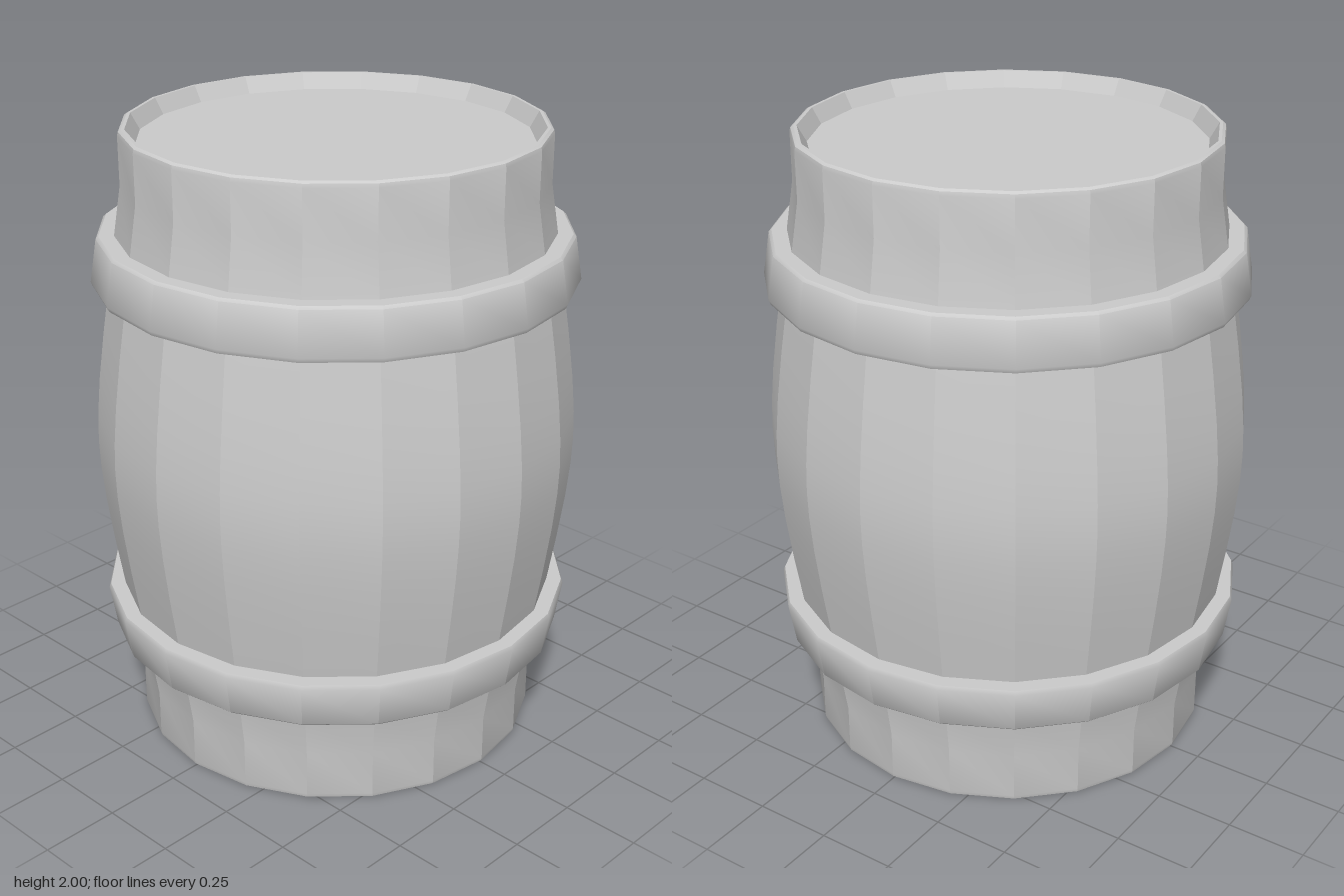
import * as THREE from 'three';
import { toCreasedNormals } from 'three/addons/utils/BufferGeometryUtils.js';

const SIDES = 20;

export function createModel() {
  const barrel = new THREE.Group();
  barrel.name = 'barrel';
  const material = new THREE.MeshStandardMaterial({ color: 0xcccccc });

  const add = (name, geometry) => {
    const mesh = new THREE.Mesh(geometry, material);
    mesh.name = name;
    barrel.add(mesh);
    return mesh;
  };
  // Turned profile of [radius, height] pairs with edges sharper than the crease angle kept hard
  const turned = (profile, creaseDegrees) => toCreasedNormals(
    new THREE.LatheGeometry(profile.map(([r, y]) => new THREE.Vector2(r, y)), SIDES),
    THREE.MathUtils.degToRad(creaseDegrees));
  // Mirror a profile about mid height, keeping its bottom-to-top order
  const flip = (profile) => profile.map(([r, y]) => [r, 2 - y]).reverse();

  // Staves: faceted around, smooth along the bulge, with a rim standing past each head
  const lowerHalf = [
    [0.605, 0.05], [0.633, 0], [0.643, 0], [0.652, 0.006], [0.655, 0.018],
    [0.655, 0.17], [0.679, 0.32], [0.704, 0.48], [0.729, 0.64], [0.749, 0.79], [0.76, 0.91],
  ];
  add('staves', turned([...lowerHalf, [0.763, 1], ...flip(lowerHalf)], 15));

  // Recessed heads closing both ends
  for (const [name, y, turn] of [['bottomHead', 0.05, 1], ['topHead', 1.95, -1]]) {
    const head = add(name, new THREE.CircleGeometry(0.605, SIDES));
    head.rotation.x = turn * Math.PI / 2;
    head.position.y = y;
  }

  // Hoops: smooth flared bands with slightly bevelled edges
  const hoop = [
    [0.66, 0.325], [0.727, 0.325], [0.736, 0.333],
    [0.758, 0.467], [0.752, 0.481], [0.69, 0.481],
  ];
  add('lowerHoop', turned(hoop, 40));
  add('upperHoop', turned(flip(hoop), 40));

  return barrel;
}
